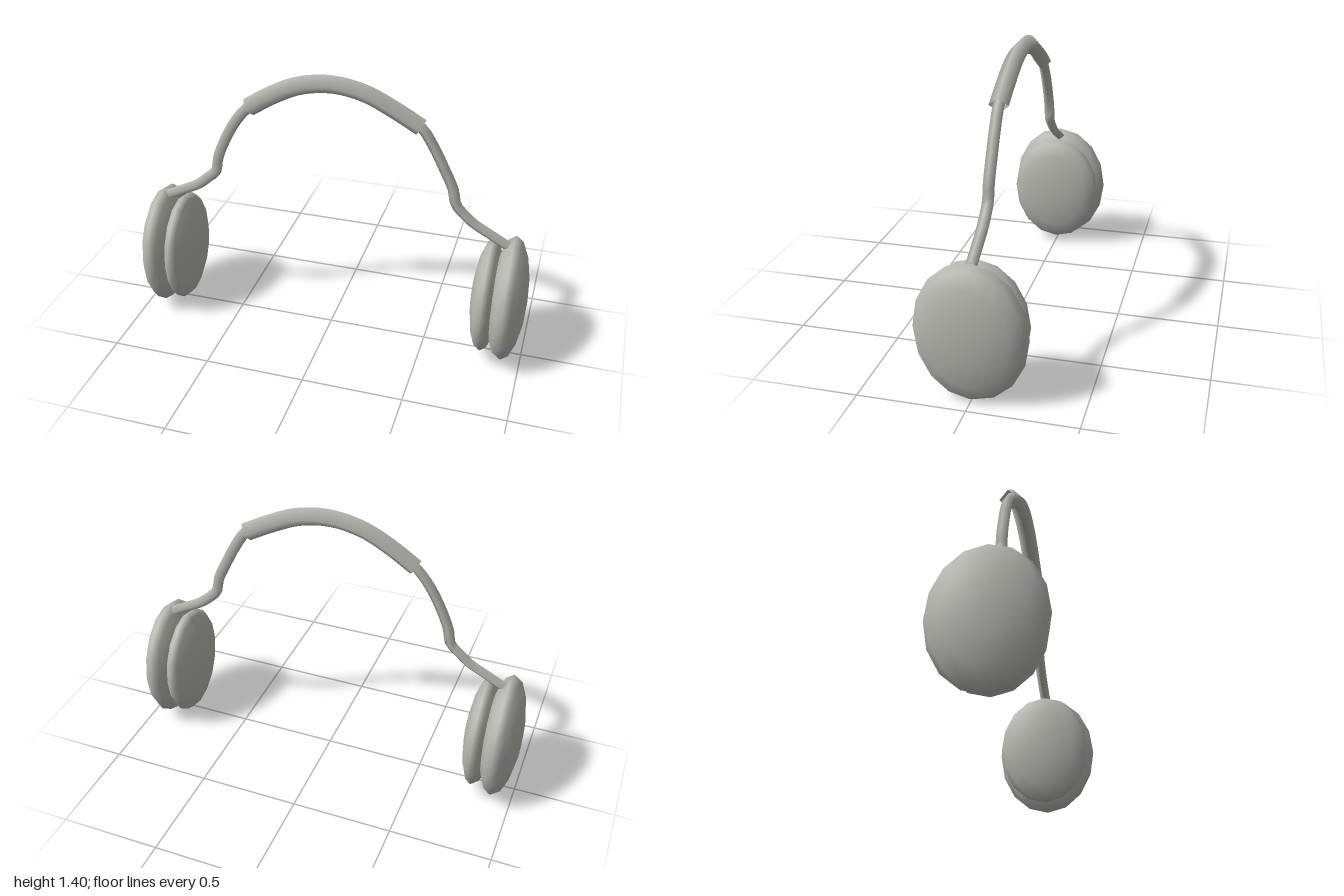
import * as THREE from 'three';

export function createModel() {
  const model = new THREE.Group();
  model.name = 'headphones';
  const grey = new THREE.MeshStandardMaterial({ color: 0xb9b9b3, side: THREE.DoubleSide });
  grey.name = 'warm grey';

  const add = (name, geometry) => {
    const mesh = new THREE.Mesh(geometry, grey);
    mesh.name = name;
    model.add(mesh);
    return mesh;
  };

  // Open four-sided tube through points in the x-y plane
  const sweep = (name, points, radius, segments) => {
    const curve = new THREE.CatmullRomCurve3(points.map(([x, y]) => new THREE.Vector3(x, y, 0)));
    return add(name, new THREE.TubeGeometry(curve, segments, radius, 4));
  };

  // Upper arch shared by the wire and the padding
  const arch = [
    [-0.415, 1.19], [-0.3, 1.265], [-0.16, 1.333], [0, 1.36],
    [0.16, 1.335], [0.3, 1.272], [0.43, 1.2],
  ];

  // Thin band with kinked arms running down to the cups
  sweep('headband', [
    [-0.882, 0.632], [-0.79, 0.679], [-0.705, 0.724], [-0.655, 0.767], [-0.605, 0.815],
    [-0.59, 0.89], [-0.54, 1.01], [-0.48, 1.115],
    ...arch,
    [0.49, 1.115], [0.545, 1.01], [0.597, 0.9], [0.615, 0.822],
    [0.66, 0.772], [0.71, 0.73], [0.79, 0.685], [0.877, 0.637],
  ], 0.027, 72);

  // Thicker padding over the crown
  sweep('headbandPadding', arch, 0.046, 24);

  // Flattened ellipsoids with poles facing sideways
  const disc = (name, x, rx, ry, rz) => {
    const geometry = new THREE.SphereGeometry(1, 16, 8).rotateZ(Math.PI / 2);
    add(name, geometry.scale(rx, ry, rz)).position.set(x, 0.335, 0);
  };
  for (const [side, s] of [['left', 1], ['right', -1]]) {
    disc(side + 'EarCup', s * 0.907, 0.093, 0.33, 0.26);
    disc(side + 'EarCushion', s * 0.802, 0.074, 0.3, 0.24);
  }
  return model;
}
